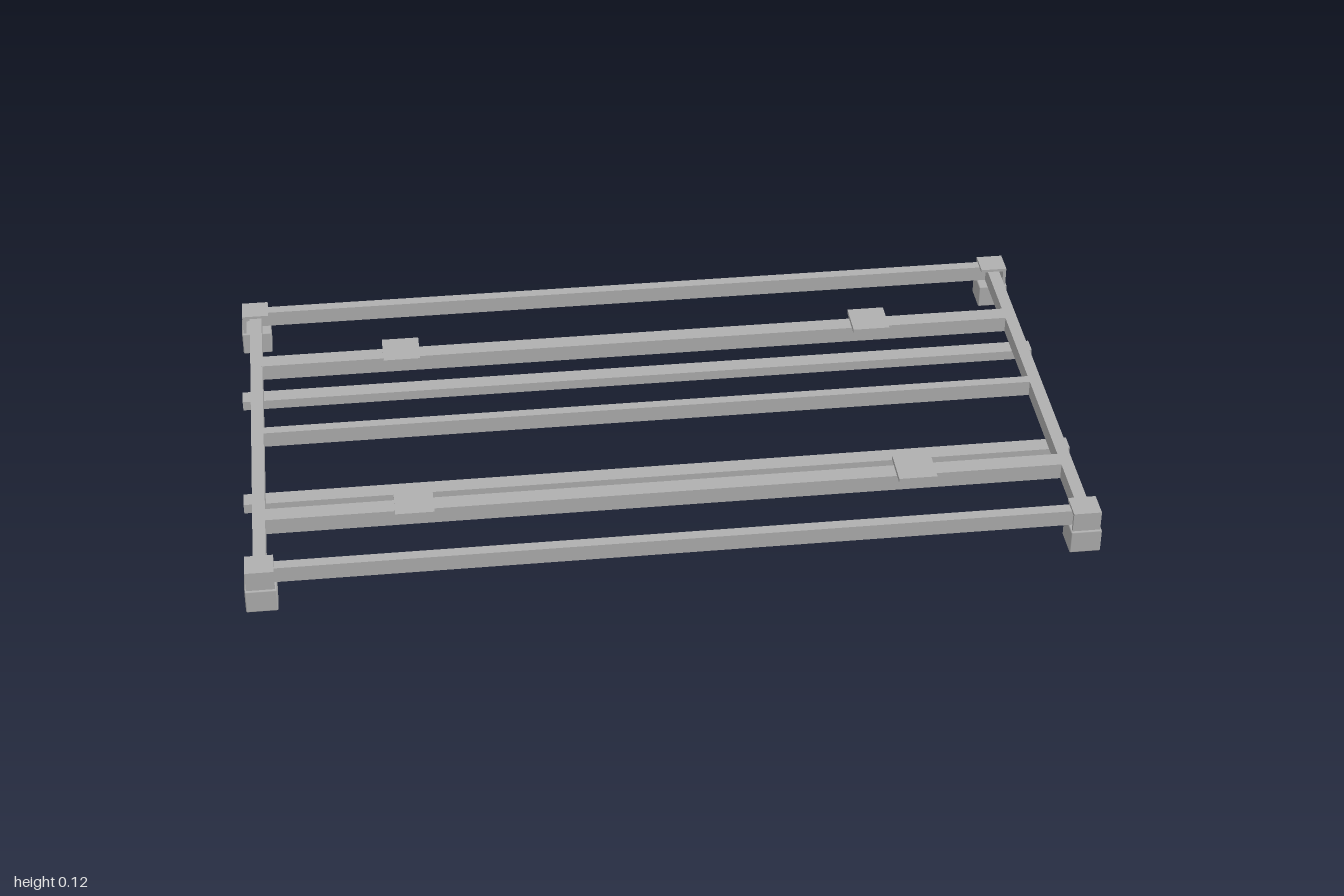
import * as THREE from 'three';
import { RoundedBoxGeometry } from 'three/addons/geometries/RoundedBoxGeometry.js';

export function createModel() {
  const model = new THREE.Group();
  model.name = 'bedFrame';
  const metal = new THREE.MeshStandardMaterial({ color: 0xb0b0b0 });
  metal.name = 'greyMetal';

  // Box given by its size and centre
  function box(name, w, h, d, x, y, z, parent = model, radius = 0) {
    const geometry = radius
      ? new RoundedBoxGeometry(w, h, d, 1, radius)
      : new THREE.BoxGeometry(w, h, d);
    const mesh = new THREE.Mesh(geometry, metal);
    mesh.name = name;
    mesh.position.set(x, y, z);
    parent.add(mesh);
    return mesh;
  }

  // Outer frame
  for (const s of [-1, 1]) {
    box(s > 0 ? 'frontRail' : 'backRail', 1.92, 0.04, 0.027, 0, 0.083, s > 0 ? 0.525 : -0.534);
    box(s > 0 ? 'leftRail' : 'rightRail', 0.03, 0.04, 1.07, s * 0.962, 0.083, -0.004);
  }

  // Beams between the side rails
  for (const z of [-0.299, 0.335]) box('wideBeam', 1.9, 0.041, 0.043, 0, 0.0835, z);
  box('middleBeam', 1.9, 0.04, 0.025, 0, 0.083, -0.004);

  // Long runners below the frame
  for (const z of [-0.213, 0.211]) box('runner', 2, 0.025, 0.042, 0, 0.046, z);

  // Mounting plates on the wide beams
  for (const z of [-0.299, 0.337])
    for (const x of [-0.599, 0.594])
      box('mountingPlate', 0.092, 0.011, 0.093, x, 0.1095, z);

  // Corners: foot block, cap and two outer walls
  for (const sx of [-1, 1]) {
    for (const sz of [-1, 1]) {
      const corner = new THREE.Group();
      corner.name = 'corner';
      corner.position.set(sx * 0.963, 0, sz * 0.528);
      box('foot', 0.074, 0.06, 0.074, 0, 0.03, 0, corner, 0.003);
      box('cap', 0.066, 0.008, 0.064, 0, 0.106, 0, corner);
      box('sideWall', 0.008, 0.043, 0.064, sx * 0.029, 0.081, 0, corner);
      box('endWall', 0.066, 0.043, 0.008, 0, 0.081, sz * 0.028, corner);
      model.add(corner);
    }
  }
  return model;
}
